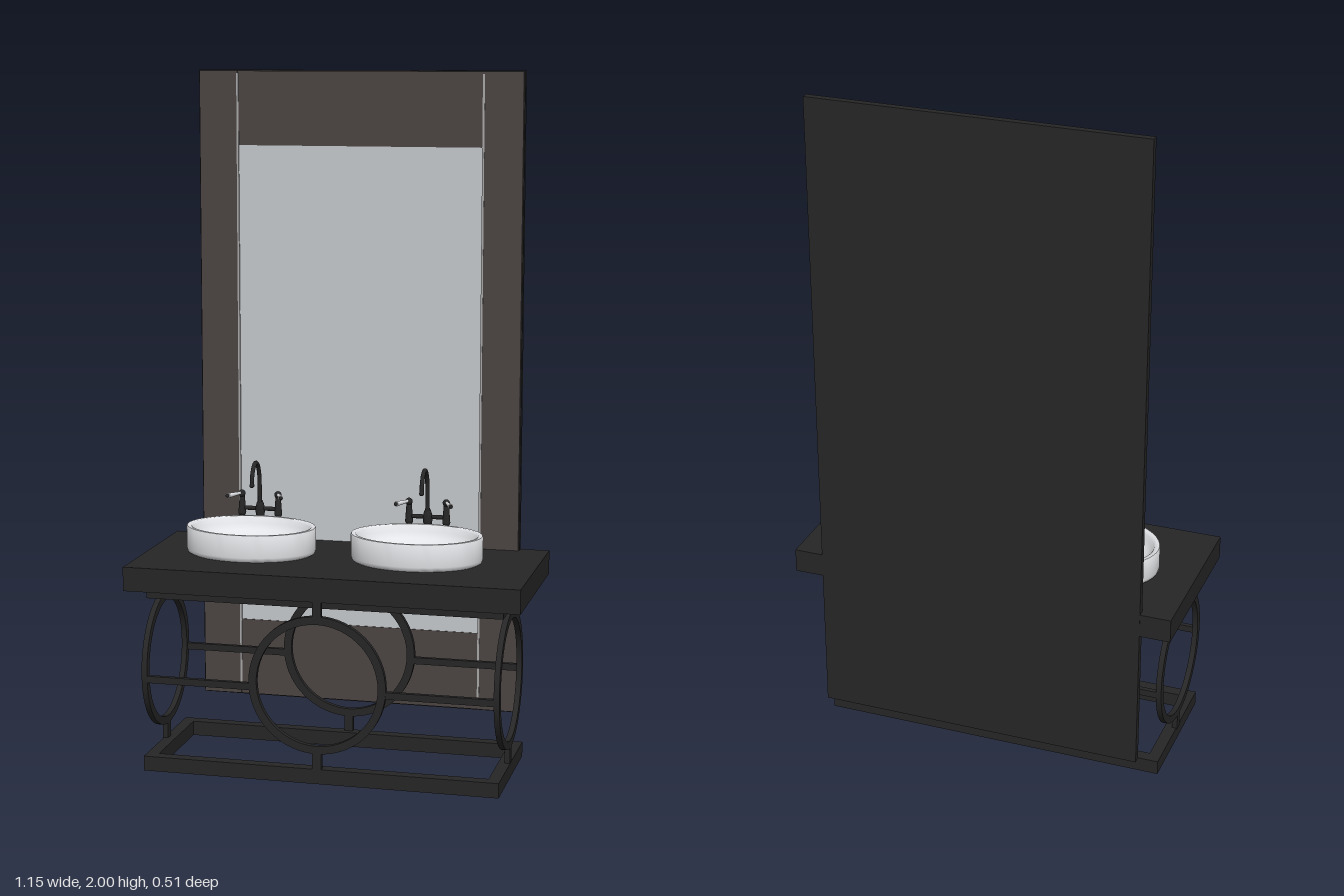
import * as THREE from 'three';
import { toCreasedNormals } from 'three/addons/utils/BufferGeometryUtils.js';

const mat = (name, color, extra = {}) =>
  Object.assign(new THREE.MeshStandardMaterial({ color, ...extra }), { name });

export function createModel() {
  const black = mat('black metal', 0x262626);
  const bronze = mat('bronze tinted glass', 0x4b4443);
  const glass = mat('mirror silver', 0xc4c8cc);
  const trim = mat('pale trim', 0xa8a8a8);
  const white = mat('white ceramic', 0xe6e7ea, { side: THREE.DoubleSide });

  const model = new THREE.Group();
  model.name = 'doubleVanity';

  const add = (parent, name, geo, m, x = 0, y = 0, z = 0) => {
    const mesh = new THREE.Mesh(geo, m);
    mesh.name = name;
    mesh.position.set(x, y, z);
    parent.add(mesh);
    return mesh;
  };
  // box given by its min and max on each axis
  const box = (parent, name, m, x0, x1, y0, y1, z0, z1) =>
    add(parent, name, new THREE.BoxGeometry(x1 - x0, y1 - y0, z1 - z0), m,
      (x0 + x1) / 2, (y0 + y1) / 2, (z0 + z1) / 2);
  const group = (name, parent = model) => {
    const g = new THREE.Group();
    g.name = name;
    parent.add(g);
    return g;
  };
  // rectangular frame lying flat, made of four bars
  const flatFrame = (name, x, y0, y1, z0, z1, w) => {
    const g = group(name);
    box(g, 'frontBar', black, -x, x, y0, y1, z1 - w, z1);
    box(g, 'backBar', black, -x, x, y0, y1, z0, z0 + w);
    for (const s of [-1, 1])
      box(g, 'sideBar', black, s * (x - w / 2) - w / 2, s * (x - w / 2) + w / 2, y0, y1, z0 + w, z1 - w);
  };

  // countertop, with support frame and base frame
  box(model, 'countertop', black, -0.575, 0.575, 0.53, 0.6, -0.256, 0.254);
  flatFrame('topFrame', 0.52, 0.502, 0.53, -0.19, 0.21, 0.035);
  flatFrame('baseFrame', 0.52, 0, 0.043, -0.147, 0.252, 0.035);

  // flat rings with short posts above and below, one on each side
  const ringShape = new THREE.Shape().absarc(0, 0, 0.2, 0, Math.PI * 2);
  ringShape.holes.push(new THREE.Path().absarc(0, 0, 0.177, 0, Math.PI * 2, true));
  const ringGeo = toCreasedNormals(new THREE.ExtrudeGeometry(ringShape,
    { depth: 0.016, bevelEnabled: false, curveSegments: 32 }).translate(0, 0, -0.008), 0.6);
  const ringStand = (name, x, z, turn) => {
    const g = group(name);
    g.position.set(x, 0, z);
    g.rotation.y = turn;
    add(g, 'ring', ringGeo, black, 0, 0.288, 0);
    box(g, 'lowerPost', black, -0.013, 0.013, 0.04, 0.095, -0.008, 0.008);
    box(g, 'upperPost', black, -0.013, 0.013, 0.482, 0.53, -0.008, 0.008);
  };
  const frontZ = 0.244, backZ = -0.139;
  ringStand('frontRing', -0.004, frontZ, 0);
  ringStand('backRing', -0.004, backZ, 0);
  ringStand('leftRing', 0.511, 0.053, Math.PI / 2);
  ringStand('rightRing', -0.515, 0.053, Math.PI / 2);
  for (const z of [frontZ, backZ]) {
    box(model, 'crossBar', black, -0.515, -0.19, 0.262, 0.282, z - 0.007, z + 0.007);
    box(model, 'crossBar', black, 0.182, 0.511, 0.262, 0.282, z - 0.007, z + 0.007);
  }

  // tall mirror with tinted border panels
  const mirror = group('mirror');
  box(mirror, 'backing', black, -0.485, 0.489, 0.105, 2, -0.257, -0.235);
  box(mirror, 'mirrorGlass', glass, -0.366, 0.37, 0.342, 1.78, -0.235, -0.232);
  box(mirror, 'topPanel', bronze, -0.366, 0.37, 1.78, 1.997, -0.235, -0.23);
  box(mirror, 'bottomPanel', bronze, -0.366, 0.37, 0.108, 0.342, -0.235, -0.23);
  box(mirror, 'rightPanel', bronze, -0.482, -0.366, 0.108, 1.997, -0.235, -0.228);
  box(mirror, 'leftPanel', bronze, 0.37, 0.486, 0.108, 1.997, -0.235, -0.228);
  for (const x of [-0.366, 0.37])
    box(mirror, 'trimLine', trim, x - 0.003, x + 0.003, 0.12, 1.99, -0.233, -0.227);

  // oval basin: outer wall, rim, then the bowl down to the drain
  const basinPts = [[0.95, 0], [0.985, 0.004], [1, 0.014], [1, 0.076], [0.99, 0.08], [0.93, 0.08], [0.91, 0.076],
    [0.88, 0.06], [0.8, 0.042], [0.65, 0.028], [0.4, 0.017], [0.15, 0.012], [0.001, 0.011]];
  const basinGeo = toCreasedNormals(new THREE.LatheGeometry(
    basinPts.map(([r, y]) => new THREE.Vector2(r, y)), 64).scale(0.193, 1, 0.147), 0.9);

  // a rod between two points
  const rod = (parent, name, m, a, b, r0, r1 = r0) => {
    const p = new THREE.Vector3(...a), q = new THREE.Vector3(...b);
    const mesh = add(parent, name, new THREE.CylinderGeometry(r1, r0, p.distanceTo(q), 12), m);
    mesh.position.copy(p).add(q).multiplyScalar(0.5);
    mesh.quaternion.setFromUnitVectors(new THREE.Vector3(0, 1, 0), q.sub(p).normalize());
  };
  const ball = (parent, name, x, y, z, r) =>
    add(parent, name, new THREE.SphereGeometry(r, 14, 10), black, x, y, z);

  // gooseneck spout, seen from its own base
  const spoutPts = [[0.08, 0], [0.16, 0], [0.205, 0.004], [0.235, 0.02], [0.247, 0.043],
    [0.236, 0.066], [0.21, 0.081], [0.185, 0.084]];
  const spoutGeo = new THREE.TubeGeometry(new THREE.CatmullRomCurve3(
    spoutPts.map(([y, z]) => new THREE.Vector3(0, y, z))), 40, 0.0065, 10);
  const bodyPts = [[0.001, 0], [0.02, 0], [0.02, 0.006], [0.011, 0.014], [0.009, 0.05],
    [0.012, 0.075], [0.015, 0.098], [0.011, 0.115], [0.007, 0.125], [0.001, 0.125]];
  const bodyGeo = new THREE.LatheGeometry(bodyPts.map(([r, y]) => new THREE.Vector2(r, y)), 18);

  const washplace = (side, basinX, faucetX) => {
    const basin = group(side + 'Basin');
    basin.position.set(basinX, 0.6, -0.025);
    add(basin, 'bowl', basinGeo, white);
    add(basin, 'drain', new THREE.CylinderGeometry(0.013, 0.013, 0.004, 20), black, 0, 0.013, -0.004);

    const faucet = group(side + 'Faucet');
    faucet.position.set(faucetX, 0.6, -0.174);
    add(faucet, 'body', bodyGeo, black, 0, 0, -0.004);
    add(faucet, 'spout', spoutGeo, black);
    ball(faucet, 'spoutTip', 0, 0.186, 0.084, 0.0075);
    rod(faucet, 'bridge', black, [-0.058, 0.1, -0.004], [0.058, 0.1, -0.004], 0.0065);
    for (const s of [-1, 1]) {
      const x = s * 0.056;
      rod(faucet, 'valve', black, [x, 0.085, -0.004], [x, 0.138, -0.004], 0.012, 0.008);
      ball(faucet, 'valveEnd', x, 0.086, -0.004, 0.012);
      ball(faucet, 'handleHub', x, 0.144, -0.002, 0.011);
      rod(faucet, 'lever', white, [x + s * 0.003, 0.146, 0.006], [x + s * 0.025, 0.147, 0.06], 0.0045, 0.0075);
      ball(faucet, 'leverTip', x + s * 0.026, 0.147, 0.063, 0.0055);
    }
  };
  washplace('right', -0.273, -0.289);
  washplace('left', 0.224, 0.224);

  return model;
}
